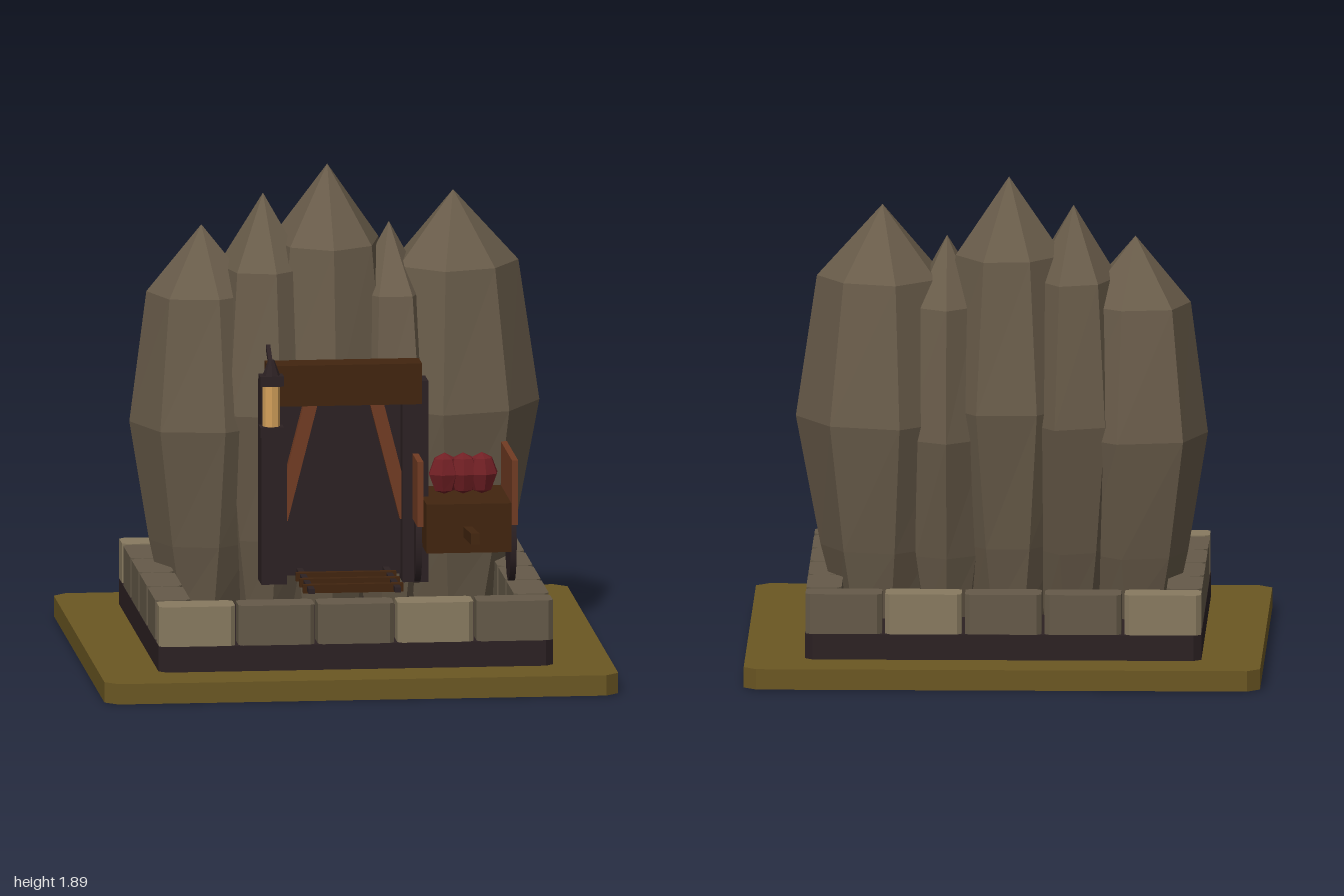
import * as THREE from 'three';

const mat = (name, color) => {
  const m = new THREE.MeshStandardMaterial({ color });
  m.name = name;
  return m;
};

export function createModel() {
  const root = new THREE.Group();
  root.name = 'mineEntrance';
  const M = {
    ochre: mat('ochre ground', 0x6b5723),
    dark: mat('dark timber and iron', 0x2c2123),
    rock: mat('rock', 0x695c4a),
    stone: mat('wall stone', 0x655a49),
    pale: mat('pale stone', 0x887a60),
    brown: mat('brown wood', 0x42250f),
    russet: mat('russet wood', 0x713b23),
    red: mat('red ore', 0x701f24),
    amber: mat('amber glass', 0xd3a05a),
  };

  const add = (name, geo, m, x = 0, y = 0, z = 0, parent = root) => {
    const mesh = new THREE.Mesh(geo, m);
    mesh.name = name;
    mesh.position.set(x, y, z);
    parent.add(mesh);
    return mesh;
  };
  // Box given by its limits on each axis
  const box = (name, m, x0, x1, y0, y1, z0, z1, parent = root) =>
    add(name, new THREE.BoxGeometry(x1 - x0, y1 - y0, z1 - z0), m,
      (x0 + x1) / 2, (y0 + y1) / 2, (z0 + z1) / 2, parent);
  const group = (name) => {
    const g = new THREE.Group();
    g.name = name;
    root.add(g);
    return g;
  };
  // Upright slab with cut corners, standing on y = 0
  const slab = (w, d, h, c) => {
    const a = w / 2, b = d / 2;
    const shape = new THREE.Shape([
      [-a + c, -b], [a - c, -b], [a, -b + c], [a, b - c],
      [a - c, b], [-a + c, b], [-a, b - c], [-a, -b + c],
    ].map(([x, y]) => new THREE.Vector2(x, y)));
    return new THREE.ExtrudeGeometry(shape, { depth: h, bevelEnabled: false }).rotateX(-Math.PI / 2);
  };
  // Faceted body: stacked rings [y, radius] closed by end points
  const faceted = (rings, sides, turn, sx, sz, wobble) => {
    const pos = [];
    const pt = ([y, r], j, k) => {
      const n = j % sides;
      const a = turn + (n / sides) * Math.PI * 2;
      const q = r * (1 + wobble * Math.sin(n * 2.4 + k * 0.5 + turn));
      return [Math.cos(a) * q * sx, y, Math.sin(a) * q * sz];
    };
    for (let k = 0; k < rings.length - 1; k++) {
      for (let j = 0; j < sides; j++) {
        const a = pt(rings[k], j, k), b = pt(rings[k], j + 1, k);
        const c = pt(rings[k + 1], j, k + 1), d = pt(rings[k + 1], j + 1, k + 1);
        if (rings[k][1] > 0) pos.push(...a, ...c, ...b);
        if (rings[k + 1][1] > 0) pos.push(...b, ...c, ...d);
      }
    }
    const g = new THREE.BufferGeometry();
    g.setAttribute('position', new THREE.Float32BufferAttribute(pos, 3));
    g.computeVertexNormals();
    return g;
  };

  // Ground and plinth
  add('ground', slab(2, 2, 0.08, 0.05), M.ochre);
  add('plinth', slab(1.535, 1.535, 0.1, 0.03), M.dark, 0, 0.08, 0);

  // Ring of wall stones
  const wall = group('stoneWall');
  for (const s of [-1, 1]) {
    for (let i = 0; i < 5; i++) {
      add('endStone', slab(0.296, 0.137, 0.156, 0.018), i % 3 === 0 ? M.pale : M.stone,
        -0.618 + i * 0.309, 0.18, s * 0.698, wall);
    }
    for (let i = 0; i < 4; i++) {
      add('sideStone', slab(0.137, 0.298, 0.156, 0.018), M.stone,
        s * 0.698, 0.18, -0.462 + i * 0.308, wall);
    }
  }

  // Rock spires: x, top, x radius, z radius, turn
  const spires = [
    [-0.5, 1.66, 0.295, 0.32, Math.PI],
    [-0.26, 1.78, 0.23, 0.335, 0.5],
    [-0.01, 1.89, 0.275, 0.345, Math.PI / 2],
    [0.23, 1.66, 0.2, 0.335, 1.1],
    [0.48, 1.78, 0.32, 0.335, 0],
  ];
  const cliff = group('rockSpires');
  for (const [x, top, rx, rz, turn] of spires) {
    const h = top - 0.18;
    const rings = [[0.18, 0], [0.18, 0.52], [0.18 + h * 0.165, 0.72],
      [0.18 + h * 0.48, 1], [0.18 + h * 0.825, 0.76], [top, 0]];
    const g = faceted(rings, 7, turn, rx, rz, 0.05);
    add('spire', g, M.rock, x, 0, -0.235, cliff);
  }

  // Mine portal
  const portal = group('portal');
  box('tunnelPanel', M.dark, -0.24, 0.24, 0.36, 1.185, 0.205, 0.25, portal);
  for (const s of [-1, 1]) {
    box('post', M.dark, s * 0.275 - 0.05, s * 0.275 + 0.05, 0.34, 1.13, 0.215, 0.335, portal);
    const brace = add('brace', new THREE.BoxGeometry(0.052, 0.5, 0.04), M.russet,
      s * 0.182, 0.83, 0.275, portal);
    brace.rotation.z = s * 0.25;
  }
  box('lintel', M.brown, -0.3, 0.3, 1.04, 1.2, 0.215, 0.338, portal);

  // Lantern on the right post
  const lantern = group('lantern');
  lantern.position.set(-0.29, 0, 0.365);
  const tube = (name, m, r0, r1, y0, y1, n = 8) =>
    add(name, new THREE.CylinderGeometry(r1, r0, y1 - y0, n).toNonIndexed(), m, 0, (y0 + y1) / 2, 0, lantern)
      .geometry.computeVertexNormals();
  box('lanternBase', M.dark, -0.046, 0.046, 0.93, 0.97, -0.036, 0.036, lantern);
  tube('lanternGlass', M.amber, 0.034, 0.034, 0.97, 1.13);
  box('lanternCap', M.dark, -0.046, 0.046, 1.13, 1.17, -0.036, 0.036, lantern);
  tube('lanternRoof', M.dark, 0.034, 0.012, 1.17, 1.23);
  const hook = add('lanternHook', new THREE.BoxGeometry(0.016, 0.024, 0.1), M.dark, 0, 1.235, -0.075, lantern);
  hook.rotation.x = 0.5;

  // Track
  const track = group('track');
  for (const x of [-0.168, 0.168]) {
    box('rail', M.dark, x - 0.012, x + 0.012, 0.368, 0.388, 0.19, 0.71, track);
  }
  for (const z of [0.235, 0.37, 0.502, 0.635]) {
    box('sleeper', M.brown, -0.195, 0.195, 0.36, 0.393, z - 0.013, z + 0.013, track);
  }

  // Cart with side boards, wheels and handle
  const cart = group('cart');
  box('cartBody', M.brown, 0.3, 0.63, 0.483, 0.675, 0.105, 0.51, cart);
  for (const x of [0.275, 0.643]) {
    box('sideBoard', M.russet, x - 0.012, x + 0.012, 0.59, 0.845, 0.1, 0.52, cart);
    const wheel = add('wheel', new THREE.CylinderGeometry(1, 1, 0.024, 16), M.dark, x + 0.006, 0.497, 0.31, cart);
    wheel.rotation.z = Math.PI / 2;
    wheel.scale.set(0.163, 1, 0.103);
  }
  for (const x of [0.286, 0.634]) {
    box('axleStub', M.dark, x - 0.015, x + 0.015, 0.48, 0.52, 0.29, 0.33, cart);
  }
  const handle = add('handle', new THREE.BoxGeometry(0.034, 0.042, 0.3), M.brown, 0.46, 0.576, 0.645, cart);
  handle.rotation.x = -0.08;

  // Ore lumps
  for (let i = 0; i < 3; i++) {
    const lump = faceted([[-0.08, 0], [-0.065, 0.6], [0, 1], [0.06, 0.65], [0.082, 0]], 7, i * 0.7, 0.066, 0.056, 0.04);
    add('ore', lump, M.red, 0.39 + i * 0.073, 0.76, 0.305, cart);
  }
  return root;
}
